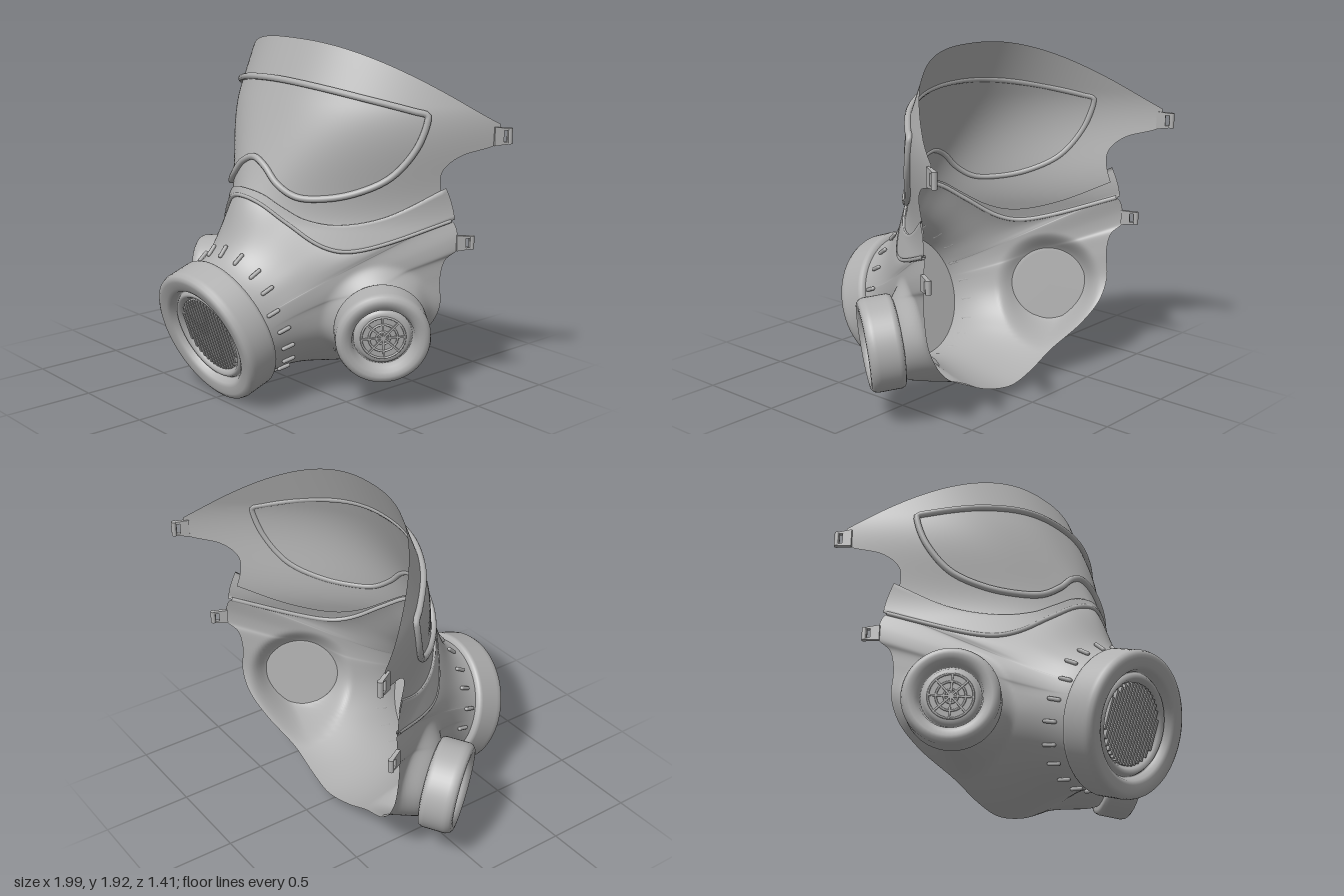
import * as THREE from 'three';

const V = (x, y, z) => new THREE.Vector3(x, y, z);
const grey = new THREE.MeshStandardMaterial({ color: 0xb0b0b0, side: THREE.DoubleSide });
grey.name = 'rubber grey';
const { lerp, smoothstep } = THREE.MathUtils;

function add(parent, name, geometry) {
  const m = new THREE.Mesh(geometry, grey);
  m.name = name;
  parent.add(m);
  return m;
}

// Smooth interpolation through [x, y] pairs
function table(p, x) {
  const n = p.length - 1;
  x = Math.min(Math.max(x, p[0][0]), p[n][0]);
  let i = 0;
  while (i < n - 1 && x > p[i + 1][0]) i++;
  const slope = (k) => {
    if (k === 0 && p[0][0] === 0) return 0;
    const a = p[Math.max(k - 1, 0)], b = p[Math.min(k + 1, n)];
    return (b[1] - a[1]) / (b[0] - a[0]);
  };
  const h = p[i + 1][0] - p[i][0], t = (x - p[i][0]) / h, t2 = t * t, t3 = t2 * t;
  return (2 * t3 - 3 * t2 + 1) * p[i][1] + (t3 - 2 * t2 + t) * h * slope(i)
    + (3 * t2 - 2 * t3) * p[i + 1][1] + (t3 - t2) * h * slope(i + 1);
}

// Surface from fn(i, j); "closed" joins the last column to the first
function grid(nu, nv, fn, closed = false) {
  const pos = [], idx = [], cols = closed ? nu : nu + 1;
  for (let j = 0; j <= nv; j++) for (let i = 0; i < cols; i++) pos.push(...fn(i, j).toArray());
  for (let j = 0; j < nv; j++) for (let i = 0; i < nu; i++) {
    const k = (i + 1) % cols, a = j * cols + i, b = j * cols + k;
    idx.push(a, a + cols, b, b, a + cols, b + cols);
  }
  const g = new THREE.BufferGeometry();
  g.setAttribute('position', new THREE.Float32BufferAttribute(pos, 3));
  g.setIndex(idx);
  g.computeVertexNormals();
  return g;
}

// Curved face sheet, round at the brow and more wedge-shaped at the nose
function depth(x, y) {
  const k = smoothstep(y, 0.95, 1.6);
  return -0.04 + (1.92 - y) * 0.42 - lerp(0.81, 0.505, k) * Math.pow(Math.abs(x) / 0.8, lerp(1.45, 2.3, k));
}
// Point raised off the sheet
function onFace(x, y, off = 0) {
  const e = 0.01;
  const n = V((depth(x - e, y) - depth(x + e, y)) / (2 * e), (depth(x, y - e) - depth(x, y + e)) / (2 * e), 1);
  return V(x, y, depth(x, y)).addScaledVector(n.normalize(), off);
}

const bandTop = [[0, 1.14], [0.12, 1.12], [0.22, 1.06], [0.32, 1.0], [0.45, 0.975], [0.6, 1.02], [0.785, 1.17]];
const bandLow = [[0, 1.1], [0.12, 1.07], [0.25, 0.98], [0.4, 0.87], [0.5, 0.84], [0.62, 0.88], [0.81, 1.0]];
const visorSide = [[1.0, 0.8], [1.1, 0.775], [1.2, 0.77], [1.28, 0.79], [1.35, 0.85], [1.39, 0.93], [1.42, 0.955], [1.51, 0.955]];

// Axes of the front drum and the side filters
const drumFace = V(0, 0.354, 0.584), drumDir = V(0, -0.332, 0.943).normalize();
const neck = drumFace.clone().addScaledVector(drumDir, -0.185), neckUp = V(0, 0.943, 0.332).normalize();
const filterFace = (s) => V(s * 0.785, 0.42, 0);
const filterDir = (s) => V(s * 0.79, -0.12, 0.6).normalize();

// Mouth shell outline: seal line, then side edge, then chin
const half = [0, 0.12, 0.25, 0.4, 0.5, 0.62, 0.72].map((x) => onFace(x, table(bandLow, x)));
half.push(V(0.805, 0.99, -0.46), V(0.835, 0.91, -0.48), V(0.835, 0.84, -0.48), V(0.79, 0.78, -0.435),
  V(0.77, 0.68, -0.42), V(0.76, 0.52, -0.435), V(0.7, 0.4, -0.43), V(0.58, 0.285, -0.395),
  V(0.36, 0.165, -0.34), V(0.18, 0.09, -0.34), V(0, 0.06, -0.35));
const outline = new THREE.CatmullRomCurve3(
  [...half, ...half.slice(1, -1).reverse().map((p) => V(-p.x, p.y, p.z))], true);
const RIM = 240;
const rim = Array.from({ length: RIM }, (_, i) => outline.getPoint(i / RIM));
const rimAngle = (p) => Math.atan2(p.x, p.clone().sub(neck).dot(neckUp));
const radial = (a) => neckUp.clone().multiplyScalar(Math.cos(a)).add(V(Math.sin(a), 0, 0));

// Point between the neck ring (t = 0) and outline point b (t = 1)
function shellPoint(b, t) {
  const a = rimAngle(b);
  const p0 = neck.clone().addScaledVector(radial(a), 0.352);
  const reach = lerp(0.29, 0.18, smoothstep(Math.cos(a), 0, 0.6));
  const c1 = p0.clone().addScaledVector(drumDir, -Math.min(0.4 * p0.distanceTo(b), reach));
  const c2 = b.clone().lerp(p0, 0.35);
  c2.x *= 0.97;
  const p = new THREE.CubicBezierCurve3(p0, c1, c2, b).getPoint(t);
  // Swell out to the filter mounts, leaving the outer edge in place
  for (const s of [-1, 1]) {
    const d = filterDir(s), rel = p.clone().sub(filterFace(s)), h = rel.dot(d);
    const r = rel.addScaledVector(d, -h).length();
    const w = (1 - smoothstep(r, 0.18, 0.32)) * (1 - smoothstep(t, 0.86, 1));
    if (h < -0.17 && p.x * s > 0) p.addScaledVector(d, (-0.17 - h) * w);
  }
  return p;
}

// Turned part along local z
const turned = (profile, seg) =>
  new THREE.LatheGeometry(profile.map((p) => new THREE.Vector2(...p)), seg).rotateX(Math.PI / 2);

function facing(name, position, dir) {
  const g = new THREE.Group();
  g.name = name;
  g.position.copy(position);
  g.quaternion.setFromUnitVectors(V(0, 0, 1), dir);
  return g;
}

function frontDrum() {
  const g = facing('frontDrum', drumFace, drumDir);
  add(g, 'drumBody', turned([[0, -0.19], [0.35, -0.19], [0.36, -0.19], [0.378, -0.183], [0.384, -0.17], [0.384, -0.16],
    [0.384, -0.05], [0.384, -0.03], [0.377, -0.01], [0.36, -0.001], [0.345, 0], [0.305, -0.004], [0.285, -0.015],
    [0.272, -0.045], [0.268, -0.055], [0.262, -0.045], [0.252, -0.033], [0.238, -0.033], [0.226, -0.045],
    [0.215, -0.065], [0.21, -0.065], [0, -0.065]], 72));
  for (let i = -8; i <= 8; i++) {
    const x = i * 0.0245;
    add(g, 'grilleSlat', new THREE.BoxGeometry(0.015, 2 * Math.sqrt(0.213 ** 2 - x * x), 0.02)).position.set(x, 0, -0.055);
  }
  return g;
}

function sideFilter(s) {
  const g = facing(s > 0 ? 'leftFilter' : 'rightFilter', filterFace(s), filterDir(s));
  add(g, 'filterBody', turned([[0, -0.185], [0.2, -0.185], [0.225, -0.185], [0.243, -0.178], [0.25, -0.16], [0.25, -0.15],
    [0.25, -0.05], [0.25, -0.035], [0.243, -0.014], [0.228, -0.002], [0.21, 0], [0.185, -0.006], [0.165, -0.025],
    [0.158, -0.06], [0.152, -0.065], [0.144, -0.05], [0.13, -0.042], [0.115, -0.042], [0, -0.042]], 56));
  for (const r of [0.035, 0.075, 0.115])
    add(g, 'filterRing', new THREE.TorusGeometry(r, 0.006, 6, 32)).position.z = -0.04;
  for (let i = 0; i < 4; i++) {
    const spoke = add(g, 'filterSpoke', new THREE.BoxGeometry(0.23, 0.01, 0.012));
    spoke.position.z = -0.04;
    spoke.rotation.z = i * Math.PI / 4;
  }
  return g;
}

// Strap tab with a slot and a thick end bar
function strapTab(s, x, y, z, tall) {
  const g = new THREE.Group();
  g.name = 'strapTab';
  g.position.set(s * x, y, z);
  g.rotation.y = s > 0 ? 1.08 : Math.PI - 1.08;
  const h = tall / 2;
  const shape = new THREE.Shape([[-0.05, -h], [0.04, -h * 0.8], [0.04, h * 0.8], [-0.05, h]].map((p) => new THREE.Vector2(...p)));
  shape.holes.push(new THREE.Path([[0.0, -h * 0.6], [0.0, h * 0.6], [0.022, h * 0.6], [0.022, -h * 0.6]].map((p) => new THREE.Vector2(...p))));
  add(g, 'tabPlate', new THREE.ExtrudeGeometry(shape, { depth: 0.022, bevelEnabled: false }).translate(0, 0, -0.011));
  add(g, 'tabBar', new THREE.CylinderGeometry(0.015, 0.015, tall * 0.84, 12)).position.x = 0.034;
  return g;
}

export function createModel() {
  const root = new THREE.Group();
  root.name = 'mask';

  // Visor sheet, running down behind the seal band
  add(root, 'visorSheet', grid(96, 48, (i, j) => {
    const s = i / 48 - 1, a = Math.abs(s), v = j / 48;
    const x = s * table(visorSide, lerp(1.51, 1.09, v));
    const low = (table(bandTop, a * 0.785) + table(bandLow, a * 0.81)) / 2;
    return onFace(x, lerp(1.92 - 0.41 * Math.pow(a, 2.5), low, v));
  }));

  // Lens frame
  const lens = [[0, 1.702], [0.25, 1.688], [0.5, 1.642], [0.7, 1.58], [0.745, 1.56], [0.748, 1.532], [0.715, 1.39],
    [0.62, 1.235], [0.5, 1.15], [0.38, 1.115], [0.27, 1.12], [0.18, 1.18], [0.09, 1.265], [0, 1.3]];
  const lensPath = [...lens, ...lens.slice(1, -1).reverse().map(([x, y]) => [-x, y])].map(([x, y]) => onFace(x, y, 0.01));
  add(root, 'lensFrame', new THREE.TubeGeometry(new THREE.CatmullRomCurve3(lensPath, true), 260, 0.018, 10, true));

  // Raised seal band; first and last rows fold back onto the sheet
  add(root, 'sealBand', grid(96, 10, (i, j) => {
    const s = i / 48 - 1, a = Math.abs(s), v = Math.min(Math.max((j - 1) / 8, 0), 1);
    const y = lerp(table(bandTop, a * 0.785), table(bandLow, a * 0.81), v);
    return onFace(s * lerp(0.785, 0.81, v), y, j === 0 || j === 10 ? 0.002 : 0.014);
  }));
  const sealPath = Array.from({ length: 49 }, (_, i) => {
    const x = (i / 24 - 1) * 0.8;
    return onFace(x, table(bandLow, Math.abs(x)), 0.006);
  });
  add(root, 'sealBead', new THREE.TubeGeometry(new THREE.CatmullRomCurve3(sealPath), 120, 0.012, 8));

  // Mouth shell
  add(root, 'mouthShell', grid(RIM, 60, (i, j) => shellPoint(rim[i], j / 60), true));

  // Ribs around the neck
  for (let k = 0; k < 20; k++) {
    const a = (k / 20) * Math.PI * 2 - Math.PI;
    const gap = (p) => Math.abs(Math.atan2(Math.sin(rimAngle(p) - a), Math.cos(rimAngle(p) - a)));
    const b = rim.reduce((best, p) => (gap(p) < gap(best) ? p : best));
    const t = 0.1 / shellPoint(b, 0).distanceTo(b);
    const p = shellPoint(b, t), dir = shellPoint(b, t + 0.03).sub(p).normalize();
    const rib = add(root, 'neckRib', new THREE.CapsuleGeometry(0.011, 0.058, 4, 8));
    rib.position.copy(p).addScaledVector(radial(a), 0.01);
    rib.quaternion.setFromUnitVectors(V(0, 1, 0), dir);
  }

  root.add(frontDrum());
  for (const s of [-1, 1]) {
    root.add(sideFilter(s), strapTab(s, 0.966, 1.445, -0.66, 0.1), strapTab(s, 0.856, 0.875, -0.515, 0.085));
  }
  return root;
}
